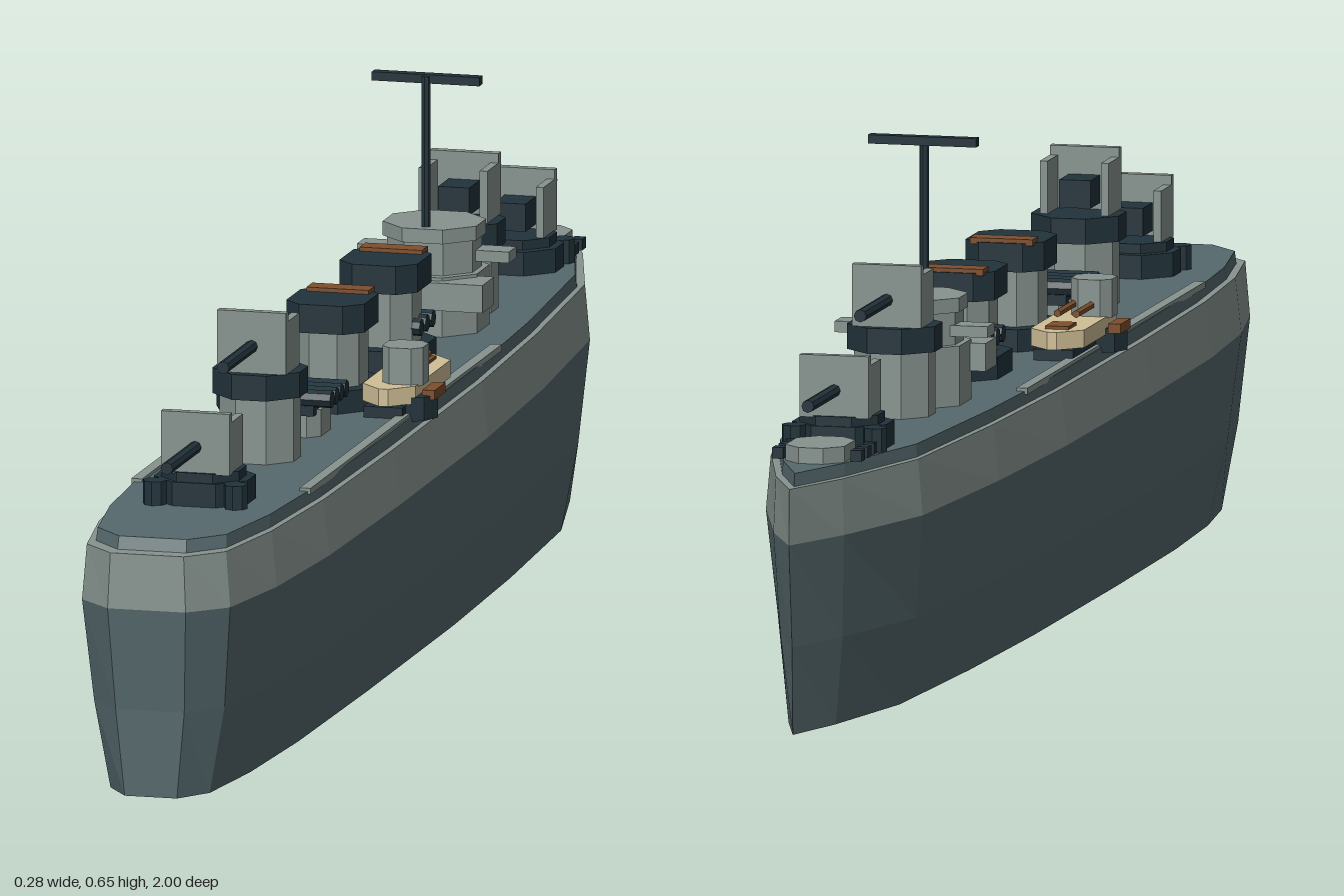
import * as THREE from 'three';

const mat = (name, color) => {
  const m = new THREE.MeshStandardMaterial({ color, flatShading: true });
  m.name = name;
  return m;
};

export function createModel() {
  const ship = new THREE.Group();
  ship.name = 'warship';
  const slate = mat('slate hull', 0x56696d);
  const grey = mat('light grey', 0x87938f);
  const navy = mat('dark navy', 0x22333b);
  const cream = mat('cream', 0xd0c097);
  const brown = mat('brown', 0x7e4f2c);

  const add = (parent, name, geo, m, x = 0, y = 0, z = 0) => {
    const mesh = new THREE.Mesh(geo, m);
    mesh.name = name;
    mesh.position.set(x, y, z);
    parent.add(mesh);
    return mesh;
  };
  // box and chamfered prism, both standing on y
  const box = (p, name, m, w, h, d, x, y, z) =>
    add(p, name, new THREE.BoxGeometry(w, h, d), m, x, y + h / 2, z);
  const prism = (p, name, m, w, h, d, c, x, y, z) => {
    const a = w / 2, b = d / 2;
    const s = new THREE.Shape([[a, c - b], [a, b - c], [a - c, b], [c - a, b], [-a, b - c], [-a, c - b], [c - a, -b], [a - c, -b]]
      .map(([u, v]) => new THREE.Vector2(u, v)));
    const g = new THREE.ExtrudeGeometry(s, { depth: h, bevelEnabled: false });
    g.rotateX(-Math.PI / 2);
    return add(p, name, g, m, x, y, z);
  };
  const rod = (p, name, m, r, len, axis, x, y, z, sides = 8) => {
    const g = new THREE.CylinderGeometry(r, r, len, sides);
    if (axis === 'x') g.rotateZ(Math.PI / 2);
    if (axis === 'z') g.rotateX(Math.PI / 2);
    return add(p, name, g, m, x, y, z);
  };

  // hull plan: [half width, z] from bow to stern, mirrored into a closed loop
  const half = [[0.045, -0.9], [0.1, -0.72], [0.122, -0.42], [0.133, -0.12], [0.135, 0.3], [0.131, 0.62], [0.118, 0.82], [0.095, 0.955], [0.05, 1]];
  const plan = [[0, -1], ...half, ...half.slice().reverse().map(([x, z]) => [-x, z])];
  // rows: [y, width scale, length scale]
  const loft = (rows, capBottom, capTop) => {
    const pos = [], n = plan.length;
    const pt = ([y, sx, sz], i) => [plan[i % n][0] * sx, y, plan[i % n][1] * sz];
    const tri = (a, b, c) => pos.push(...a, ...b, ...c);
    const last = rows[rows.length - 1];
    for (let i = 0; i < n; i++) {
      for (let r = 0; r < rows.length - 1; r++) {
        const a = pt(rows[r], i), b = pt(rows[r], i + 1), c = pt(rows[r + 1], i + 1), d = pt(rows[r + 1], i);
        tri(a, d, c);
        tri(a, c, b);
      }
      if (capBottom) tri([0, rows[0][0], 0], pt(rows[0], i), pt(rows[0], i + 1));
      if (capTop) tri([0, last[0], 0], pt(last, i + 1), pt(last, i));
    }
    const g = new THREE.BufferGeometry();
    g.setAttribute('position', new THREE.Float32BufferAttribute(pos, 3));
    g.computeVertexNormals();
    return g;
  };
  add(ship, 'lowerHull', loft([[0, 0.67, 0.98], [0.11, 0.88, 0.984], [0.24, 1, 1]], true, false), slate);
  add(ship, 'upperHull', loft([[0.24, 1, 1], [0.31, 0.94, 0.998]], false, true), grey);
  add(ship, 'deck', loft([[0.31, 0.88, 0.975], [0.326, 0.87, 0.97]], false, true), slate);
  for (const s of [-1, 1]) box(ship, 'sideStrip', grey, 0.014, 0.008, 0.9, s * 0.108, 0.322, 0.2);

  // gun with a U-shaped shield, barrel towards local +z
  const gun = (name, z, y, dir) => {
    const g = new THREE.Group();
    g.name = name;
    g.position.set(0, y, z);
    if (dir < 0) g.rotation.y = Math.PI;
    box(g, 'shieldFront', grey, 0.088, 0.078, 0.012, 0, 0, 0.03);
    for (const s of [-1, 1]) box(g, 'shieldSide', grey, 0.01, 0.066, 0.055, s * 0.039, 0, 0);
    box(g, 'breech', navy, 0.04, 0.035, 0.05, 0, 0.008, 0);
    rod(g, 'barrel', navy, 0.008, 0.17, 'z', 0, 0.034, 0.085);
    ship.add(g);
  };
  for (const d of [-1, 1]) {
    // low gun
    prism(ship, 'gunBase', navy, 0.12, 0.03, 0.105, 0.032, 0, 0.326, d * 0.725);
    prism(ship, 'gunRing', navy, 0.1, 0.012, 0.09, 0.027, 0, 0.356, d * 0.73);
    for (const s of [-1, 1]) rod(ship, 'deckPost', navy, 0.015, 0.03, 'y', s * 0.052, 0.341, d * 0.77);
    gun('endGun', d * 0.735, 0.366, d);
    // raised gun
    prism(ship, 'barbette', grey, 0.095, 0.085, 0.09, 0.028, 0, 0.326, d * 0.465);
    prism(ship, 'barbetteRing', navy, 0.112, 0.032, 0.108, 0.034, 0, 0.408, d * 0.465);
    gun('raisedGun', d * 0.47, 0.44, d);
  }

  // foredeck locker and mooring gear
  prism(ship, 'foredeckLocker', grey, 0.075, 0.02, 0.1, 0.022, 0, 0.326, -0.84);
  for (const s of [-1, 1]) for (let i = 0; i < 3; i++)
    box(ship, 'mooringBlock', navy, 0.014, 0.014, 0.018, s * 0.05, 0.326, -0.85 + i * 0.032);

  // bridge
  prism(ship, 'bridgeBase', grey, 0.125, 0.075, 0.13, 0.035, 0, 0.326, -0.355);
  box(ship, 'bridgeWing', grey, 0.165, 0.035, 0.055, 0, 0.362, -0.305);
  prism(ship, 'bridgeTower', grey, 0.11, 0.042, 0.105, 0.03, 0, 0.4, -0.355);
  box(ship, 'lookoutWing', grey, 0.195, 0.014, 0.035, 0, 0.412, -0.365);
  prism(ship, 'bridgeRoof', grey, 0.12, 0.018, 0.115, 0.034, 0, 0.442, -0.355);

  // mast
  rod(ship, 'mast', navy, 0.006, 0.2, 'y', 0, 0.55, -0.315);
  box(ship, 'mastYard', navy, 0.138, 0.011, 0.014, 0, 0.641, -0.32);

  // funnels, with a brown plate at the forward edge of each cap
  for (const z of [-0.125, 0.125]) {
    prism(ship, 'funnelBase', navy, 0.11, 0.028, 0.135, 0.03, 0, 0.326, z);
    prism(ship, 'funnelStack', grey, 0.08, 0.08, 0.09, 0.022, 0, 0.354, z);
    prism(ship, 'funnelCap', navy, 0.1, 0.036, 0.11, 0.022, 0, 0.424, z);
    box(ship, 'funnelPlate', brown, 0.08, 0.008, 0.028, 0, 0.457, z - 0.038);
  }
  for (let i = 0; i < 3; i++) rod(ship, 'funnelPipe', navy, 0.011, 0.1, 'x', 0, 0.376, -0.112 - i * 0.028);

  // torpedo tubes lying across the deck
  prism(ship, 'tubeMount', grey, 0.08, 0.034, 0.075, 0.015, 0, 0.326, 0.302);
  box(ship, 'tubeCradle', navy, 0.07, 0.014, 0.08, 0, 0.354, 0.302);
  for (let i = 0; i < 4; i++) rod(ship, 'torpedoTube', navy, 0.011, 0.115, 'x', 0, 0.376, 0.268 + i * 0.023);

  // side boats and light guns
  for (const s of [-1, 1]) {
    box(ship, 'boatCradle', navy, 0.05, 0.02, 0.2, s * 0.085, 0.32, 0.1);
    prism(ship, 'boat', cream, 0.068, 0.022, 0.22, 0.028, s * 0.087, 0.342, 0.095);
    box(ship, 'boatSeat', brown, 0.03, 0.008, 0.04, s * 0.087, 0.36, 0.03);
    rod(ship, 'gunTub', navy, 0.036, 0.03, 'y', s * 0.106, 0.335, 0.15);
    box(ship, 'tubTrim', brown, 0.016, 0.012, 0.05, s * 0.134, 0.345, 0.14);
    prism(ship, 'sideGunHouse', grey, 0.052, 0.048, 0.052, 0.012, s * 0.1, 0.362, 0.148);
    for (const o of [-0.012, 0.012]) rod(ship, 'sideGunBarrel', brown, 0.005, 0.08, 'z', s * 0.09 + o, 0.378, 0.088, 6);
  }
  return ship;
}
